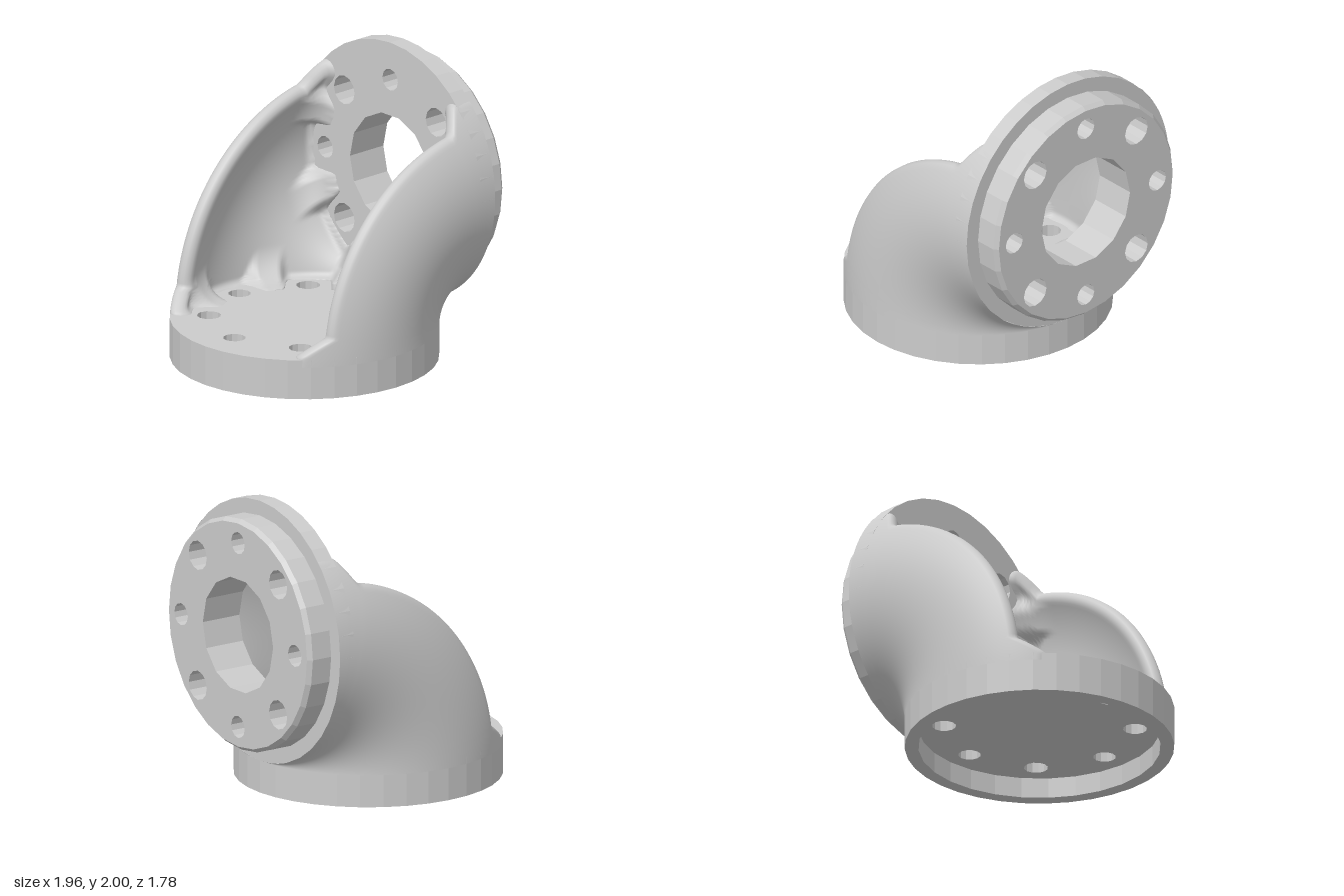
import * as THREE from 'three';

const R = 0.89;                 // flange radius, also bend radius of the elbow
const PX = 0.8, PY = 0.22;      // bend pivot
const FLOOR = 0.27, BACK = 0.68; // inner faces of the two flanges
const BOLT = 0.63;              // bolt circle radius
const rad = THREE.MathUtils.degToRad;
const { clamp, smoothstep } = THREE.MathUtils;

const ring = (r, n, cx = 0, cy = 0) => Array.from({ length: n }, (_, i) => {
  const a = (i / n) * Math.PI * 2;
  return new THREE.Vector2(cx + r * Math.cos(a), cy + r * Math.sin(a));
});

// Disc with polygonal holes, extruded along +z from 0 to depth
function disc(r, n, depth, holes) {
  const shape = new THREE.Shape(ring(r, n));
  for (const h of holes) shape.holes.push(new THREE.Path(h));
  return new THREE.ExtrudeGeometry(shape, { depth, bevelEnabled: false });
}

// Eight bolt holes, alternating between two radii
const boltHoles = (rAxis, rDiagonal) => Array.from({ length: 8 }, (_, i) => {
  const a = (i * Math.PI) / 4;
  return ring(i % 2 ? rDiagonal : rAxis, 12, BOLT * Math.cos(a), BOLT * Math.sin(a));
});

// Open C-section swept through a quarter turn, with filleted feet and a rounded rim
function elbowGeometry() {
  const rows = 64, arc = 160, rim = 8, rIn = 0.78;
  const pos = [], index = [];
  const gap = (rho, th) => Math.min(PY + rho * Math.sin(th) - FLOOR, BACK - PX + rho * Math.cos(th));

  // Wall inner radius: fillet against the flanges, scalloped round each bolt hole
  const inner = (phi, th) => {
    const deg = phi * 180 / Math.PI;
    const off = Math.abs(((deg + 22.5) % 45) - 22.5);
    const f = 0.045 + 0.18 * smoothstep(rad(off) * 0.65, 0.12, 0.19);
    const k = clamp(1 - gap(R + rIn * Math.cos(phi), th) / f, 0, 1);
    return rIn - f * (1 - Math.sqrt(1 - k * k));
  };

  let count = 0;
  for (let j = 0; j <= rows; j++) {
    const t = j / rows;
    const th = (t - 0.7 * Math.sin(2 * Math.PI * t) / (2 * Math.PI)) * Math.PI / 2;
    // rim flares outward where it meets a flange
    const flare = clamp(1 - gap(1.36, th) / 0.13, 0, 1);
    const e = rad(60 - 13 * flare);
    const section = [];
    const angle = i => e + (2 * Math.PI - 2 * e) * i / arc;
    const roundRim = (phi, sign) => {
      const ri = inner(phi, th), mid = (R + ri) / 2, half = (R - ri) / 2;
      for (let k = 1; k < rim; k++) {
        const a = Math.PI * k / rim;
        section.push([mid + sign * half * Math.cos(a), phi + sign * 0.055 / mid * Math.sin(a)]);
      }
    };
    for (let i = 0; i <= arc; i++) section.push([R, angle(i)]);
    roundRim(angle(arc), 1);
    for (let i = arc; i >= 0; i--) section.push([inner(angle(i), th), angle(i)]);
    roundRim(e, -1);
    count = section.length;
    for (const [r, phi] of section) {
      const rho = R + r * Math.cos(phi);
      pos.push(PX - rho * Math.cos(th), PY + rho * Math.sin(th), r * Math.sin(phi));
    }
  }
  for (let j = 0; j < rows; j++) for (let i = 0; i < count; i++) {
    const n = (i + 1) % count;
    const a = j * count + i, b = j * count + n, c = a + count, d = b + count;
    index.push(a, b, d, a, d, c);
  }
  const g = new THREE.BufferGeometry();
  g.setAttribute('position', new THREE.Float32BufferAttribute(pos, 3));
  g.setIndex(index);
  g.computeVertexNormals();
  return g;
}

export function createModel() {
  const model = new THREE.Group();
  const smooth = new THREE.MeshStandardMaterial({ color: 0xcccccc, side: THREE.DoubleSide });
  const flat = new THREE.MeshStandardMaterial({ color: 0xcccccc, flatShading: true });
  const add = (parent, name, geometry, material = flat) => {
    const mesh = new THREE.Mesh(geometry, material);
    mesh.name = name;
    parent.add(mesh);
    return mesh;
  };

  // Base flange: drilled plate above a rim that forms the recess underneath
  const base = new THREE.Group();
  base.name = 'baseFlange';
  base.position.x = PX - R;
  base.rotation.x = -Math.PI / 2;
  add(base, 'basePlate', disc(R, 36, 0.13, boltHoles(0.075, 0.08))).position.z = 0.14;
  add(base, 'baseRim', disc(R, 36, 0.14, [ring(0.8, 28)]));
  model.add(base);

  // Upright flange with a central bore and a chamfered locating boss
  const upright = new THREE.Group();
  upright.name = 'uprightFlange';
  upright.position.set(BACK, PY + R, 0);
  upright.rotation.y = Math.PI / 2;
  const holes = [ring(0.39, 14), ...boltHoles(0.075, 0.1)];
  add(upright, 'uprightPlate', disc(R, 36, 0.12, holes));
  add(upright, 'boss', disc(0.765, 28, 0.18, holes)).position.z = 0.12;
  const skin = new THREE.LatheGeometry(
    [[0.79, 0], [0.79, 0.15], [0.765, 0.18]].map(p => new THREE.Vector2(...p)), 28);
  skin.rotateX(Math.PI / 2);
  add(upright, 'bossEdge', skin).position.z = 0.12;
  model.add(upright);

  // Curved walls joining the two flanges
  add(model, 'elbowWall', elbowGeometry(), smooth);
  return model;
}
